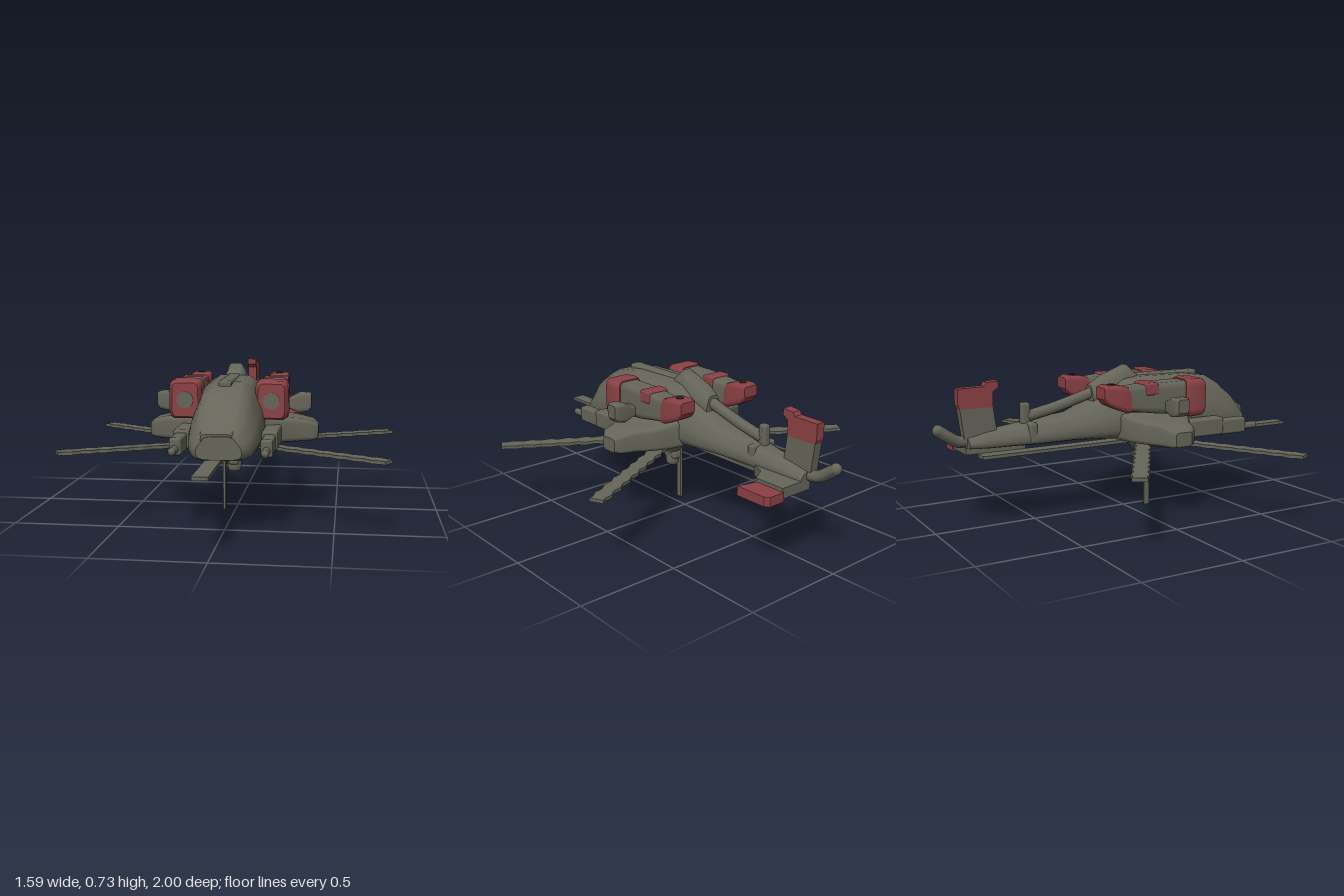
import * as THREE from 'three';
import { RoundedBoxGeometry } from 'three/addons/geometries/RoundedBoxGeometry.js';

const material = (name, color) => Object.assign(new THREE.MeshStandardMaterial({ color }), { name });

// Right-hand halves of the cross-sections: [share of half width, share of height]
const HULL = [[0.62, 0], [0.9, 0.07], [1, 0.2], [1, 0.4], [0.93, 0.58], [0.78, 0.76], [0.66, 0.92], [0.42, 1]];
const BLOCK = [[0.72, 0], [0.94, 0.06], [1, 0.2], [1, 0.8], [0.94, 0.94], [0.72, 1]];

// Skins sections [z, centre x, half width, bottom y, top y], listed front to back
function loft(half, sections) {
  const outline = [...half, ...half.map(([u, v]) => [-u, v]).reverse()];
  const n = outline.length, pos = [], index = [];
  const addRing = ([z, cx, w, y0, y1]) => outline.forEach(([u, v]) => pos.push(cx + u * w, y0 + v * (y1 - y0), z));
  sections.forEach(addRing);
  for (let i = 0; i < sections.length - 1; i++) {
    for (let j = 0; j < n; j++) {
      const a = i * n + j, b = i * n + (j + 1) % n;
      index.push(a, a + n, b, b, a + n, b + n);
    }
  }
  // End caps have their own corners so that the rims stay sharp
  [[sections[0], false], [sections[sections.length - 1], true]].forEach(([s, back]) => {
    const start = pos.length / 3;
    addRing(s);
    for (let j = 1; j < n - 1; j++) {
      index.push(start, start + (back ? j + 1 : j), start + (back ? j : j + 1));
    }
  });
  const g = new THREE.BufferGeometry();
  g.setAttribute('position', new THREE.Float32BufferAttribute(pos, 3));
  g.setIndex(index);
  g.computeVertexNormals();
  return g;
}

function extrude(points, depth) {
  const shape = new THREE.Shape(points.map(([a, b]) => new THREE.Vector2(a, b)));
  return new THREE.ExtrudeGeometry(shape, { depth, bevelEnabled: false });
}
// Horizontal plate from [x, z] points, hanging down from yTop
const flatPlate = (points, yTop, depth) => extrude(points, depth).rotateX(Math.PI / 2).translate(0, yTop, 0);
// Upright plate from [z, y] points, centred on x
const uprightPlate = (points, x, depth) => extrude(points, depth).rotateY(-Math.PI / 2).translate(x + depth / 2, 0, 0);

export function createModel() {
  const model = new THREE.Group();
  model.name = 'helicopter';
  const grey = material('hullGrey', 0x65655a);
  const red = material('trimRed', 0x8c4145);
  const dark = material('exhaustDark', 0x2e2424);

  const add = (name, geometry, mat = grey, parent = model) => {
    const mesh = new THREE.Mesh(geometry, mat);
    mesh.name = name;
    parent.add(mesh);
    return mesh;
  };
  const box = (name, w, h, d, x, y, z, mat = grey, r = 0.012) =>
    add(name, new RoundedBoxGeometry(w, h, d, 2, r), mat).position.set(x, y, z);
  const tube = (name, points, radius) => {
    const curve = new THREE.CatmullRomCurve3(points.map(p => new THREE.Vector3(...p)));
    add(name, new THREE.TubeGeometry(curve, 16, radius, 8));
    // Closed rounded ends
    [points[0], points[points.length - 1]].forEach(p =>
      add(name + 'End', new THREE.SphereGeometry(radius, 8, 6)).position.set(...p));
  };

  // Fuselage and tail boom
  add('fuselage', loft(HULL, [
    [0.69, 0, 0.1, 0.362, 0.465], [0.66, 0, 0.125, 0.355, 0.485], [0.6, 0, 0.148, 0.352, 0.55],
    [0.53, 0, 0.158, 0.35, 0.605], [0.45, 0, 0.162, 0.35, 0.65], [0.32, -0.005, 0.168, 0.35, 0.668],
    [0.05, -0.01, 0.168, 0.355, 0.672], [-0.04, -0.01, 0.15, 0.37, 0.66], [-0.12, -0.01, 0.13, 0.375, 0.61],
    [-0.22, -0.005, 0.108, 0.38, 0.55], [-0.32, -0.005, 0.09, 0.382, 0.51], [-0.5, -0.01, 0.08, 0.382, 0.49],
    [-0.62, 0, 0.066, 0.382, 0.475], [-0.74, 0, 0.062, 0.384, 0.46], [-0.84, 0, 0.058, 0.39, 0.44],
  ]));
  add('noseSensor', loft(BLOCK, [
    [0.688, -0.01, 0.07, 0.37, 0.475], [0.64, -0.01, 0.08, 0.36, 0.5], [0.56, -0.01, 0.08, 0.36, 0.52],
  ]));
  box('canopyRidge', 0.06, 0.05, 0.36, -0.01, 0.655, 0.24);
  box('boomCollar', 0.15, 0.1, 0.04, -0.01, 0.44, -0.53);

  // Raised fairing on the roof and the spine running down from it
  add('roofFairing', loft(HULL, [
    [0.07, -0.01, 0.04, 0.62, 0.67], [0.035, -0.01, 0.055, 0.62, 0.695], [0, -0.01, 0.05, 0.62, 0.727],
    [-0.05, -0.01, 0.06, 0.6, 0.705], [-0.13, -0.01, 0.06, 0.57, 0.675], [-0.2, -0.01, 0.045, 0.54, 0.635],
  ]));
  tube('spine', [[-0.01, 0.61, -0.15], [-0.01, 0.575, -0.27], [-0.01, 0.54, -0.4], [-0.01, 0.515, -0.52]], 0.028);
  box('spineMast', 0.04, 0.11, 0.045, -0.01, 0.525, -0.545);

  // Engine pods with red intakes and exhausts
  [['left', 0.195], ['right', -0.215]].forEach(([side, x]) => {
    const pod = new THREE.Group();
    pod.name = side + 'Engine';
    pod.position.x = x;
    model.add(pod);
    add('intake', loft(BLOCK, [
      [0.312, 0, 0.062, 0.495, 0.655], [0.29, 0, 0.078, 0.485, 0.668],
      [0.225, 0, 0.08, 0.482, 0.672], [0.195, 0, 0.066, 0.49, 0.668],
    ]), red, pod);
    add('intakeOpening', new THREE.CylinderGeometry(0.04, 0.04, 0.006, 16).rotateX(Math.PI / 2), grey, pod)
      .position.set(0, 0.575, 0.313);
    add('engineCasing', loft(BLOCK, [
      [0.2, 0, 0.06, 0.5, 0.662], [0.05, 0, 0.06, 0.51, 0.66], [-0.12, 0, 0.048, 0.535, 0.648],
    ]), grey, pod);
    add('casingBand', new RoundedBoxGeometry(0.122, 0.06, 0.07, 2, 0.01), red, pod).position.set(0, 0.634, 0.005);
    add('exhaust', loft(BLOCK, [
      [-0.085, 0, 0.045, 0.53, 0.6], [-0.12, 0, 0.052, 0.525, 0.65],
      [-0.16, 0, 0.052, 0.54, 0.662], [-0.225, 0, 0.05, 0.57, 0.664], [-0.248, 0, 0.044, 0.6, 0.655],
    ]), red, pod);
    add('exhaustOpening', new THREE.CylinderGeometry(0.02, 0.02, 0.004, 12), dark, pod).position.set(0, 0.664, -0.19);
  });

  // Side sponsons, upper stubs and forward guns
  [1, -1].forEach(s => {
    const side = s > 0 ? 'left' : 'right';
    add(side + 'Sponson', loft(BLOCK, [
      [0.415, 0, 0.045, 0.372, 0.44], [0.39, 0, 0.075, 0.366, 0.462], [0.33, 0, 0.09, 0.362, 0.475],
      [0.27, 0, 0.13, 0.362, 0.482], [0.2, 0, 0.17, 0.362, 0.495], [0.1, 0, 0.2, 0.362, 0.52],
    ]).rotateY(s * Math.PI / 2).translate(-0.005, 0, 0.09));
    add(side + 'Stub', loft(BLOCK, [
      [0.38, 0, 0.03, 0.525, 0.59], [0.365, 0, 0.04, 0.508, 0.598],
      [0.32, 0, 0.04, 0.5, 0.596], [0.28, 0, 0.034, 0.515, 0.575], [0.22, 0, 0.034, 0.52, 0.57],
    ]).rotateY(s * Math.PI / 2).translate(-0.005, 0, 0.11));
    const x = s * 0.205 - 0.005;
    box(side + 'GunMount', 0.075, 0.09, 0.26, x, 0.41, 0.32);
    box(side + 'GunBody', 0.055, 0.08, 0.16, x, 0.4, 0.52);
    box(side + 'GunBracket', 0.09, 0.05, 0.07, x - s * 0.04, 0.4, 0.37);
    tube(side + 'GunBarrel', [[x, 0.39, 0.5], [x, 0.39, 0.58], [x, 0.39, 0.665]], 0.019);
  });

  // Tail: fin, one-sided stabilizer and rear arm
  add('finBase', uprightPlate([[-0.69, 0.42], [-0.71, 0.575], [-0.872, 0.575], [-0.85, 0.4]], -0.005, 0.045));
  add('finTip', uprightPlate([[-0.71, 0.575], [-0.71, 0.645], [-0.682, 0.665], [-0.682, 0.695],
    [-0.74, 0.69], [-0.75, 0.672], [-0.88, 0.67], [-0.88, 0.595], [-0.872, 0.575]], -0.005, 0.046), red);
  add('stabilizer', flatPlate([[0, -0.84], [0.175, -0.84], [0.175, -0.68], [0.1, -0.635], [0.065, -0.56], [0, -0.54]], 0.405, 0.05));
  add('stabilizerTip', flatPlate([[0.17, -0.845], [0.255, -0.845], [0.272, -0.825], [0.272, -0.66],
    [0.235, -0.672], [0.17, -0.685]], 0.388, 0.045), red);
  tube('tailArm', [[0, 0.42, -0.82], [-0.005, 0.425, -0.88], [-0.01, 0.455, -0.93], [-0.01, 0.485, -0.972]], 0.028);

  // Rotor below the hull: scalloped blades on the diagonals, straight ones fore and aft
  const hubX = -0.03, hubZ = 0.105;
  const ends = [[0.775, -0.315], [0.735, 0.56], [-0.78, 0.525], [-0.765, -0.365], [-0.03, 1], [-0.03, -0.78]];
  ends.forEach(([x, z], k) => {
    const dx = x - hubX, dz = z - hubZ, length = Math.hypot(dx, dz);
    const wave = k < 4 ? 0.006 : 0, edge = [];
    for (let i = 0; i <= 40; i++) edge.push([length * i / 40, 0.035 + wave * Math.sin(i * Math.PI / 2)]);
    const outline = [...edge.map(([a, b]) => [a, -b]), ...edge.reverse()];
    const blade = add('rotorBlade' + (k + 1), flatPlate(outline, 0.354, 0.016));
    blade.position.set(hubX, 0, hubZ);
    blade.rotation.y = -Math.atan2(dz, dx);
  });
  const hub = [[0, 0.2], [0.028, 0.2], [0.034, 0.215], [0.034, 0.245], [0.026, 0.26], [0.045, 0.285], [0.07, 0.315], [0.09, 0.34], [0.09, 0.37]];
  add('rotorHub', new THREE.LatheGeometry(hub.map(p => new THREE.Vector2(...p)), 16)).position.set(-0.005, 0, hubZ);
  box('hubClamp', 0.05, 0.04, 0.09, -0.005, 0.255, hubZ);
  box('mastRod', 0.014, 0.34, 0.03, -0.054, 0.17, hubZ, grey, 0.002);
  return model;
}
